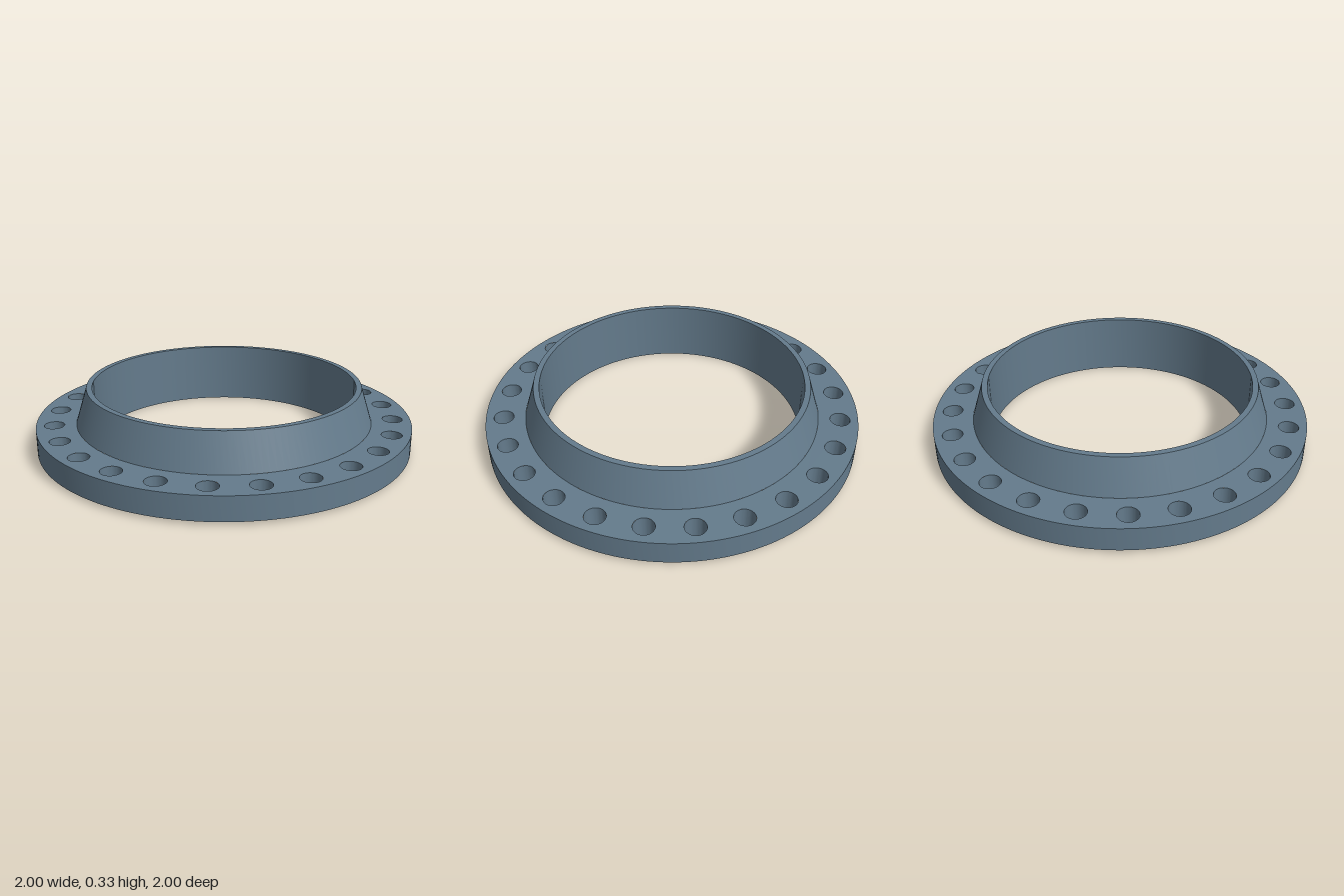
import * as THREE from 'three';
import { toCreasedNormals } from 'three/addons/utils/BufferGeometryUtils.js';

const SEGMENTS = 144;
const BOTTOM = 0.015, TOP = 0.14;          // flange faces
const BOLTS = 24, BOLT_CIRCLE = 0.905, BOLT_RADIUS = 0.053;

export function createModel() {
  const group = new THREE.Group();
  const material = new THREE.MeshStandardMaterial({ color: 0x647b8c });

  const add = (name, geometry) => {
    const mesh = new THREE.Mesh(geometry, material);
    mesh.name = name;
    group.add(mesh);
    return mesh;
  };

  const lathe = (points, segments = SEGMENTS) => toCreasedNormals(
    new THREE.LatheGeometry(points.map(([r, y]) => new THREE.Vector2(r, y)), segments), 0.2);

  const boltPositions = Array.from({ length: BOLTS }, (_, i) => {
    const a = (i / BOLTS) * Math.PI * 2;
    return [BOLT_CIRCLE * Math.cos(a), BOLT_CIRCLE * Math.sin(a)];
  });

  // Flat ring drilled with the bolt circle, lying at height y
  const drilledRing = (innerRadius, y, facing) => {
    const shape = new THREE.Shape().absarc(0, 0, 1, 0, Math.PI * 2);
    shape.holes.push(new THREE.Path().absarc(0, 0, innerRadius, 0, Math.PI * 2, true));
    for (const [x, z] of boltPositions) {
      shape.holes.push(new THREE.Path().absarc(x, z, BOLT_RADIUS, 0, Math.PI * 2, true));
    }
    return new THREE.ShapeGeometry(shape, SEGMENTS)
      .rotateX(-facing * Math.PI / 2).translate(0, y, 0);
  };

  // Flange plate: rim and two drilled faces
  add('flangeRim', lathe([[1, BOTTOM], [1, TOP]]));
  add('flangeTop', drilledRing(0.79, TOP, 1));
  add('flangeUnderside', drilledRing(0.845, BOTTOM, -1));

  // Tapered neck, lip, through bore and raised sealing face
  add('neckAndBore', lathe([
    [0.79, TOP], [0.73, 0.33], [0.70, 0.33], [0.70, 0], [0.845, 0], [0.845, BOTTOM],
  ]));

  // Bolt hole walls, facing inward
  const wall = lathe([[BOLT_RADIUS, TOP], [BOLT_RADIUS, BOTTOM]], 48);
  boltPositions.forEach(([x, z], i) => add(`boltHole${i + 1}`, wall).position.set(x, 0, z));

  return group;
}
